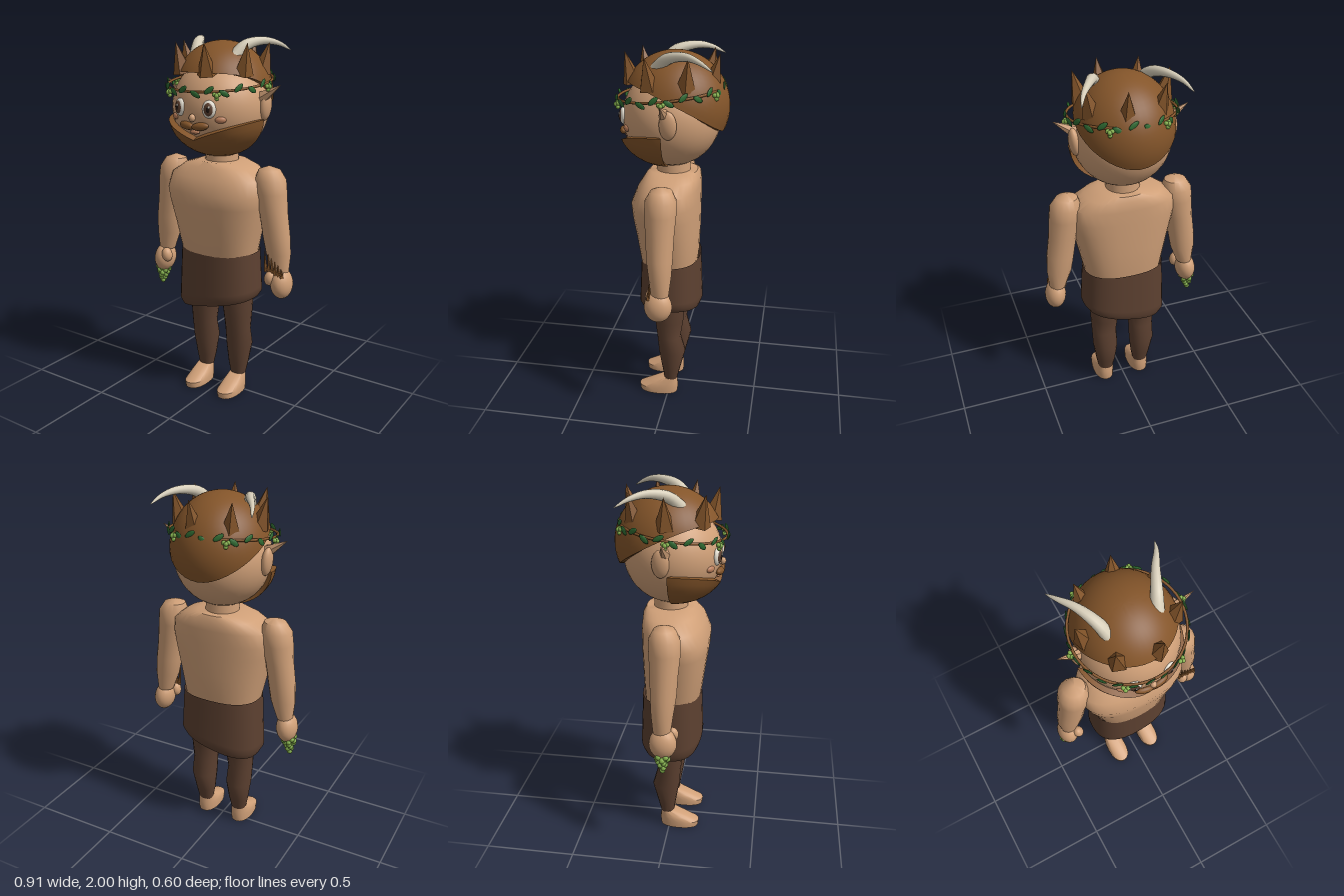
import * as THREE from 'three';
import { mergeVertices, toCreasedNormals } from 'three/addons/utils/BufferGeometryUtils.js';
import { ParametricGeometry } from 'three/addons/geometries/ParametricGeometry.js';

const colour = (name, color, side = THREE.FrontSide) => {
  const m = new THREE.MeshStandardMaterial({ color, side });
  m.name = name;
  return m;
};
const lerp = THREE.MathUtils.lerp;

export function createModel() {
  const skin = colour('skin', 0xd0a078);
  const hair = colour('brown hair', 0x84552a, THREE.DoubleSide);
  const cloth = colour('dark brown cloth', 0x5c4030, THREE.DoubleSide);
  const ivory = colour('ivory horn', 0xd6cdb8);
  const leafGreen = colour('leaf green', 0x2f6b32);
  const grapeGreen = colour('grape green', 0x84b04c);
  const white = colour('eye white', 0xe8e2d4);
  const black = colour('pupil black', 0x20150e);
  const blush = colour('blush', 0xbb7f5c);

  const root = new THREE.Group();
  root.name = 'hornedFigure';
  const add = (name, geo, mat, pos = [0, 0, 0], rot = [0, 0, 0], scale = [1, 1, 1], parent = root) => {
    const m = new THREE.Mesh(geo, mat);
    m.name = name;
    m.position.set(...pos);
    m.rotation.set(...rot);
    m.scale.set(...scale);
    parent.add(m);
    return m;
  };
  const ball = new THREE.SphereGeometry(1, 20, 14);
  const bead = new THREE.SphereGeometry(1, 8, 6);

  // Smooth surface from a rule, with sharp edges kept
  const surface = (f, nu, nv, crease = 0.8) => {
    const g = new ParametricGeometry(f, nu, nv);
    g.deleteAttribute('uv');
    g.deleteAttribute('normal');
    return toCreasedNormals(mergeVertices(g, 1e-5), crease);
  };
  // Loft through rings [y, half width, front z, back z, centre x], bottom to top
  const loft = (rings, power = 2, side = 1, nu = 24) => surface((u, v, p) => {
    const [y, hx, zf, zb, cx = 0] = rings[Math.round(v * (rings.length - 1))];
    const a = u * Math.PI * 2, s = Math.sin(a), c = Math.cos(a);
    const bend = (t) => Math.sign(t) * Math.pow(Math.abs(t), 2 / power);
    p.set(side * cx + hx * bend(s), y, (zf + zb) / 2 + (zf - zb) / 2 * bend(c));
  }, nu, rings.length - 1);

  // Torso and neck
  add('torso', loft([
    [0.78, 0.205, 0.145, -0.14], [0.85, 0.222, 0.165, -0.15], [1.0, 0.255, 0.185, -0.155],
    [1.12, 0.285, 0.203, -0.157], [1.19, 0.298, 0.208, -0.157], [1.27, 0.285, 0.175, -0.157],
    [1.325, 0.21, 0.14, -0.154], [1.352, 0.125, 0.115, -0.14], [1.353, 0, 0, 0],
  ], 2.5, 1, 32), skin);
  add('neck', new THREE.CylinderGeometry(0.088, 0.095, 0.13, 20), skin, [0, 1.37, -0.01]);

  // Wrap skirt with a slanted hem
  add('skirt', surface((u, v, p) => {
    const a = u * Math.PI * 2, s = Math.sin(a), c = Math.cos(a);
    const tuck = v < 0.05 ? 0.92 : 1;
    const x = Math.sign(s) * Math.pow(Math.abs(s), 0.8) * lerp(0.243, 0.228, v) * tuck;
    const z = Math.sign(c) * Math.pow(Math.abs(c), 0.8) * lerp(0.175, 0.162, v) * tuck;
    p.set(x, lerp(0.54 + 0.21 * x, 0.855, v), z);
  }, 36, 10), cloth);

  for (const s of [1, -1]) {
    const side = s > 0 ? 'left' : 'right';
    // Legs and feet
    add(side + 'Leg', loft([
      [0.065, 0.038, 0.02, -0.045, 0.112], [0.16, 0.058, 0.035, -0.068, 0.112], [0.28, 0.073, 0.055, -0.098, 0.115],
      [0.38, 0.073, 0.063, -0.07, 0.116], [0.48, 0.081, 0.075, -0.085, 0.113], [0.56, 0.088, 0.082, -0.092, 0.11],
      [0.72, 0.09, 0.085, -0.095, 0.11],
    ], 2.1, s, 18), cloth);
    add(side + 'Foot', loft([
      [0, 0, 0.04, 0.04, 0.113], [0, 0.058, 0.168, -0.052, 0.113], [0.035, 0.06, 0.173, -0.056, 0.113],
      [0.065, 0.055, 0.11, -0.054, 0.113], [0.1, 0.044, 0.035, -0.05, 0.113], [0.102, 0, 0, 0, 0.113],
    ], 2.3, s, 20), skin);

    // Arms, hands and thumbs
    add(side + 'Arm', loft([
      [0.77, 0, 0, 0, 0.385], [0.775, 0.045, 0.044, -0.05, 0.385], [0.88, 0.07, 0.058, -0.062, 0.37],
      [0.98, 0.076, 0.072, -0.068, 0.358], [1.1, 0.077, 0.078, -0.072, 0.34], [1.21, 0.087, 0.088, -0.08, 0.322],
      [1.28, 0.085, 0.084, -0.08, 0.316], [1.33, 0.06, 0.056, -0.056, 0.308], [1.352, 0, 0, 0, 0.305],
    ], 2, s, 16), skin);
    add(side + 'Hand', ball, skin, [s * 0.398, 0.715, 0.004], [0, 0, s * 0.1], [0.058, 0.085, 0.075]);
    add(side + 'Thumb', ball, skin, [s * 0.35, 0.748, 0.05], [0, 0, -s * 0.2], [0.03, 0.042, 0.032]);

    // Pointed ears
    add(side + 'Ear', ball, skin, [s * 0.262, 1.655, -0.025], [0, 0, -s * 0.1], [0.028, 0.075, 0.045]);
    add(side + 'EarTip', toCreasedNormals(new THREE.ConeGeometry(0.04, 0.15, 6), 0.3), skin,
      [s * 0.3, 1.732, -0.005], [0, 0, -s * 1.02], [1, 1, 0.75]);

    // Eyes, cheeks and moustache
    const eye = new THREE.Group();
    eye.name = side + 'Eye';
    eye.position.set(s * 0.09, 1.655, 0.24);
    eye.rotation.y = s * 0.3;
    root.add(eye);
    add('eyeball', ball, white, [0, 0, 0], [0, 0, 0], [0.036, 0.046, 0.02], eye);
    add('iris', ball, cloth, [0, 0, 0.011], [0, 0, 0], [0.025, 0.034, 0.013], eye);
    add('pupil', ball, black, [0, 0, 0.017], [0, 0, 0], [0.013, 0.019, 0.009], eye);
    add('glint', bead, white, [0.006, 0.012, 0.024], [0, 0, 0], [0.006, 0.007, 0.003], eye);
    add(side + 'Cheek', ball, blush, [s * 0.14, 1.602, 0.21], [0, s * 0.58, 0], [0.03, 0.018, 0.016]);
    add(side + 'Moustache', ball, hair, [s * 0.042, 1.565, 0.252], [0, s * 0.18, s * 0.12], [0.048, 0.021, 0.02]);

    // Curved horns, thinning to a point
    const path = new THREE.CatmullRomCurve3([
      [0.12, 1.9, 0.06], [0.15, 1.96, 0], [0.2, 1.982, -0.1], [0.25, 1.965, -0.18], [0.28, 1.93, -0.245],
    ].map(([x, y, z]) => new THREE.Vector3(s * x, y, z)));
    const horn = new THREE.TubeGeometry(path, 16, 1, 12);
    const pos = horn.attributes.position, v = new THREE.Vector3();
    for (let i = 0; i < pos.count; i++) {
      const t = Math.floor(i / 13) / 16, c = path.getPointAt(t);
      v.fromBufferAttribute(pos, i).sub(c).multiplyScalar(0.034 * Math.pow(1 - t, 0.75) + 0.002).add(c);
      pos.setXYZ(i, v.x, v.y, v.z);
    }
    add(side + 'Horn', horn, ivory);
  }

  // Head
  add('head', new THREE.SphereGeometry(0.26, 36, 24), skin, [0, 1.64, 0]);
  add('nose', ball, skin, [0, 1.607, 0.262], [0, 0, 0], [0.017, 0.02, 0.018]);
  add('mouth', ball, blush, [0, 1.532, 0.24], [0, 0, 0], [0.03, 0.011, 0.012]);

  // Hair cap, high on the brow and low at the nape, with a rim turned in
  add('hairCap', surface((u, v, p) => {
    const a = Math.PI - u * Math.PI * 2, f = Math.cos(a);
    const end = Math.acos(0.24 + 0.44 * f - 0.22 * f * f);
    const q = end * Math.min(1, v / 0.9), k = v > 0.95 ? 0.82 : 1;
    p.set(0.265 * k * Math.sin(q) * Math.sin(a), 1.7 + 0.285 * Math.cos(q), -0.02 + 0.285 * k * Math.sin(q) * f);
  }, 40, 20), hair);

  // Ring of hair spikes
  const spike = toCreasedNormals(new THREE.ConeGeometry(0.055, 0.165, 5), 0.1);
  for (let i = 0; i < 7; i++) {
    const turn = new THREE.Group();
    turn.name = 'hairSpike';
    turn.rotation.y = Math.PI + i * Math.PI * 2 / 7;
    turn.position.z = -0.01;
    root.add(turn);
    add('spike', spike, hair, [0.23, 1.9, 0], [0, 0, -0.25], [1, 1, 1], turn);
  }

  // Beard: thick half bowl with a dipped upper edge
  add('beard', surface((u, v, p) => {
    const a = (u - 0.5) * Math.PI, row = Math.round(v * 16) % 16;
    const top = Math.acos((-0.11 + 0.1 * Math.abs(Math.sin(a))) / 0.225);
    const t = row < 8 ? row / 7 : (15 - row) / 7;
    const q = lerp(Math.PI - 0.32, top, t);
    const k = row < 8 || u < 0.001 || u > 0.999 ? 1 : 0.87;
    p.set(0.275 * k * Math.sin(q) * Math.sin(a), 1.6 + 0.225 * k * Math.cos(q), 0.008 + 0.28 * k * Math.sin(q) * Math.cos(a));
  }, 32, 16), hair);

  // Leafy wreath with berry clusters
  const wreath = new THREE.Group();
  wreath.name = 'wreath';
  wreath.position.set(0, 1.775, 0.005);
  wreath.rotation.x = 0.12;
  root.add(wreath);
  add('vine', new THREE.TorusGeometry(0.279, 0.007, 8, 48), hair, [0, 0, 0], [Math.PI / 2, 0, 0], [1, 1, 1], wreath);
  for (let i = 0; i < 24; i++) {
    const turn = new THREE.Group();
    turn.name = 'wreathPart';
    turn.rotation.y = (i + 0.5) * Math.PI / 12;
    wreath.add(turn);
    const up = i % 2 ? 1 : -1;
    add('leaf', bead, leafGreen, [0, up * 0.01, 0.287], [0, 0.15, up * 0.6], [0.03, 0.014, 0.005], turn);
  }
  for (let i = 0; i < 6; i++) {
    const turn = new THREE.Group();
    turn.name = 'berryCluster';
    turn.rotation.y = i * Math.PI / 3 + Math.PI / 6;
    wreath.add(turn);
    for (const [x, y, z] of [[-0.011, -0.012, 0.292], [0.011, -0.012, 0.292], [0, -0.016, 0.302], [0, -0.032, 0.294]])
      add('berry', bead, grapeGreen, [x, y, z], [0, 0, 0], [0.012, 0.012, 0.012], turn);
  }

  // Bunch of grapes in the right hand
  [[5, 0.034], [5, 0.03], [4, 0.024], [3, 0.016], [2, 0.01], [1, 0]].forEach(([n, r], row) => {
    for (let i = 0; i < n; i++) {
      const a = i * Math.PI * 2 / n + row * 0.6;
      add('grape', bead, grapeGreen, [-0.41 + r * Math.cos(a) - row * 0.002, 0.652 - row * 0.018, 0.005 + r * Math.sin(a)],
        [0, 0, 0], [0.016, 0.016, 0.016]);
    }
  });

  // Row of tapering reed pipes at the left wrist
  for (let i = 0; i < 6; i++) {
    const h = 0.115 - i * 0.013;
    add('reedPipe', new THREE.CylinderGeometry(0.002, 0.01, h, 6), hair, [0.322 + i * 0.02, 0.782 - i * 0.004 + h / 2, 0.052], [0, 0, 0.08]);
  }
  add('reedBinding', new THREE.BoxGeometry(0.11, 0.014, 0.014), hair, [0.375, 0.79, 0.052], [0, 0, -0.15]);

  return root;
}
